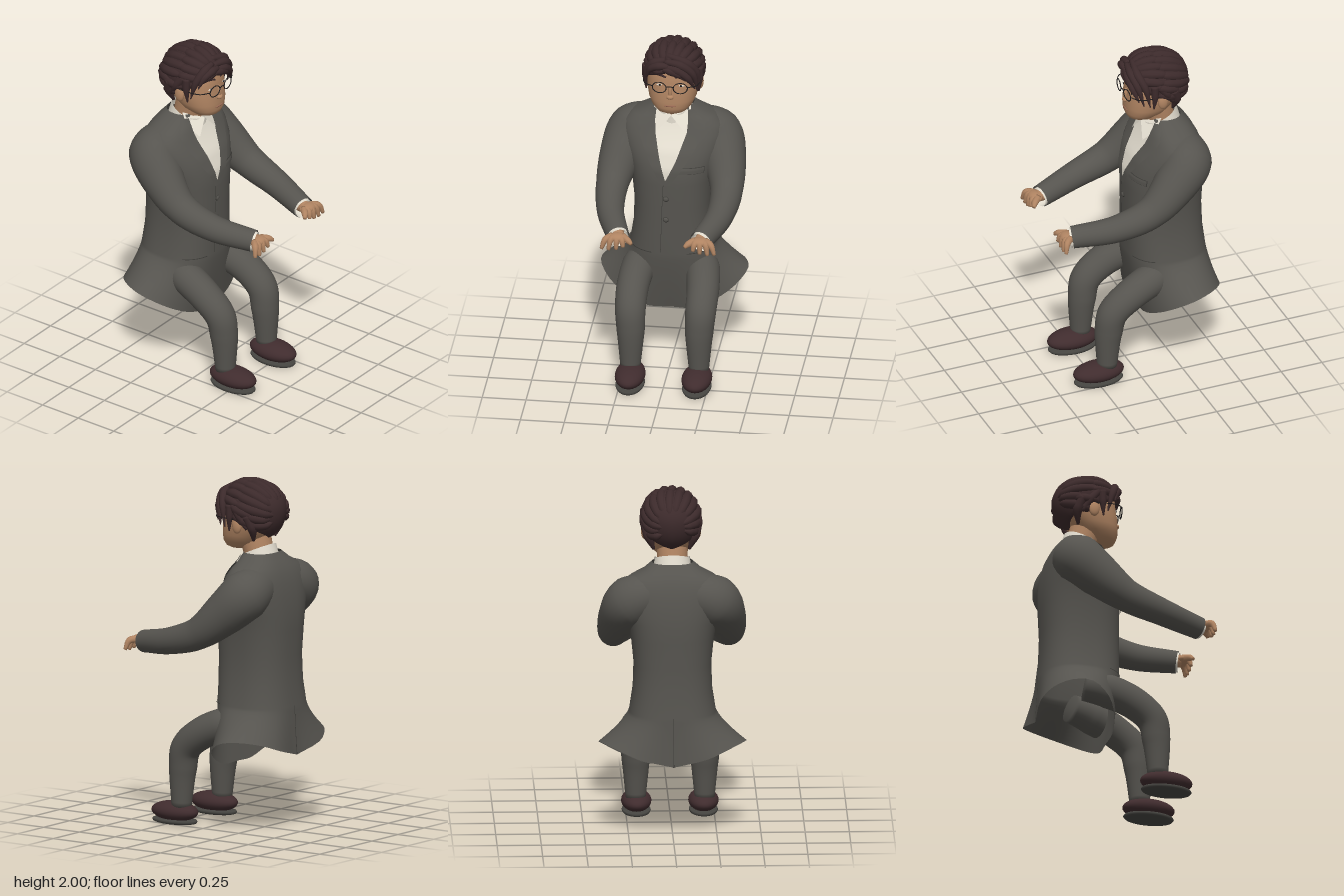
import * as THREE from 'three';

const V = (x, y, z) => new THREE.Vector3(x, y, z);
const mat = (name, color, side = THREE.FrontSide) => {
  const m = new THREE.MeshStandardMaterial({ color, side });
  m.name = name;
  return m;
};

// Smooth surface through rows of points; wrap closes each row, cap fills the ends
function grid(rows, wrap = true, cap = true) {
  const n = rows[0].length, pos = [], idx = [];
  rows.forEach(r => r.forEach(p => pos.push(p.x, p.y, p.z)));
  for (let i = 0; i < rows.length - 1; i++) {
    for (let j = 0; j < (wrap ? n : n - 1); j++) {
      const a = i * n + j, b = i * n + (j + 1) % n;
      idx.push(a, b, a + n, b, b + n, a + n);
    }
  }
  if (wrap && cap) {
    [0, rows.length - 1].forEach(i => {
      const c = rows[i].reduce((s, p) => s.add(p), V(0, 0, 0)).divideScalar(n);
      const k = pos.length / 3;
      pos.push(c.x, c.y, c.z);
      for (let j = 0; j < n; j++) {
        const a = i * n + j, b = i * n + (j + 1) % n;
        if (i) idx.push(a, b, k); else idx.push(b, a, k);
      }
    });
  }
  const g = new THREE.BufferGeometry();
  g.setAttribute('position', new THREE.Float32BufferAttribute(pos, 3));
  g.setIndex(idx);
  g.computeVertexNormals();
  return g;
}

// Tube of changing radius along a smooth path
function sweep(pts, radii, steps = 24, sides = 20, cap = true) {
  const curve = new THREE.CatmullRomCurve3(pts.map(p => V(...p)));
  const rows = [];
  let N = V(0.31, 0.87, 0.39);
  for (let i = 0; i <= steps; i++) {
    const t = i / steps, T = curve.getTangent(t), c = curve.getPoint(t);
    N = N.clone().addScaledVector(T, -N.dot(T)).normalize();
    const B = T.clone().cross(N), f = t * (radii.length - 1), k = Math.min(Math.floor(f), radii.length - 2);
    const r = THREE.MathUtils.lerp(radii[k], radii[k + 1], f - k);
    rows.push(Array.from({ length: sides }, (_, j) => {
      const a = j / sides * Math.PI * 2;
      return c.clone().addScaledVector(N, r * Math.cos(a)).addScaledVector(B, r * Math.sin(a));
    }));
  }
  return grid(rows, true, cap);
}

// Body sections: height, half width, front z, back z
const torsoKeys = [[0.72, 0.245, 0.0, -0.46], [0.85, 0.225, 0.0, -0.445], [1.0, 0.22, 0.0, -0.44], [1.15, 0.235, 0.0, -0.445],
  [1.25, 0.255, -0.005, -0.445], [1.35, 0.29, -0.04, -0.435], [1.42, 0.3, -0.08, -0.42], [1.47, 0.285, -0.105, -0.405],
  [1.51, 0.235, -0.122, -0.385], [1.545, 0.165, -0.135, -0.36], [1.585, 0.115, -0.145, -0.325]];
const headKeys = [[1.595, 0.05, -0.035, -0.14], [1.61, 0.085, -0.012, -0.18], [1.64, 0.115, 0.0, -0.23], [1.68, 0.135, 0.0, -0.27],
  [1.74, 0.148, -0.003, -0.32], [1.8, 0.152, -0.012, -0.345], [1.86, 0.15, -0.015, -0.345], [1.92, 0.12, -0.05, -0.31], [1.96, 0.06, -0.11, -0.25]];
const SEG = 48;
const spow = (v, p) => Math.sign(v) * Math.abs(v) ** p;
const ring = ([y, w, f, b], p) => Array.from({ length: SEG }, (_, j) => {
  const a = j / SEG * Math.PI * 2;
  return V(w * spow(Math.sin(a), p), y, (f + b) / 2 + (f - b) / 2 * spow(Math.cos(a), p));
});
function frontZ(keys, p, x, y) {
  let i = 0;
  while (i < keys.length - 2 && y > keys[i + 1][0]) i++;
  const t = (y - keys[i][0]) / (keys[i + 1][0] - keys[i][0]);
  const [w, f, b] = [1, 2, 3].map(k => THREE.MathUtils.lerp(keys[i][k], keys[i + 1][k], t));
  const s = Math.min(1, Math.abs(x) / w) ** (1 / p);
  return (f + b) / 2 + (f - b) / 2 * Math.sqrt(1 - s * s) ** p;
}
// Thin panel lying on the chest; rows are [y, x0, x1]
function panel(rows, off) {
  const out = [];
  for (let i = 0; i < rows.length - 1; i++) {
    for (let k = i ? 1 : 0; k <= 6; k++) {
      const [y, a, b] = rows[i].map((v, q) => THREE.MathUtils.lerp(v, rows[i + 1][q], k / 6));
      out.push(Array.from({ length: 9 }, (_, j) => {
        const x = a + (b - a) * j / 8;
        return V(x, y, frontZ(torsoKeys, 0.8, x, y) + off);
      }));
    }
  }
  return grid(out, false);
}

export function createModel() {
  const D = THREE.DoubleSide;
  const suit = mat('suit', 0x56544f, D), seam = mat('seam', 0x3f3e3a, D), shirt = mat('shirt', 0xe4ded0, D);
  const skin = mat('skin', 0xb08462), hair = mat('hair', 0x3c2a2b, D), shoe = mat('shoe', 0x402c2e);
  const sole = mat('sole', 0x464541), frame = mat('frame', 0x1c1a1b), lip = mat('lip', 0x986853);
  const model = new THREE.Group();
  const add = (name, geo, m, parent = model) => {
    const o = new THREE.Mesh(geo, m);
    o.name = name;
    parent.add(o);
    return o;
  };
  const ball = (name, m, p, s, parent) => {
    const o = add(name, new THREE.SphereGeometry(1, 28, 18), m, parent);
    o.position.set(...p);
    o.scale.set(...s);
    return o;
  };

  // Coat body with a flared, arched hem
  const hemCurve = new THREE.CatmullRomCurve3([[0, 0.36, -0.06], [0.13, 0.36, -0.06], [0.25, 0.41, -0.08], [0.36, 0.48, -0.14],
    [0.42, 0.54, -0.25], [0.385, 0.55, -0.36], [0.3, 0.53, -0.45], [0.19, 0.49, -0.495], [0, 0.44, -0.475]].map(p => V(...p)));
  const waist = ring(torsoKeys[0], 0.8), skirt = [];
  for (let i = 10; i >= 1; i--) {
    const t = i / 10, e = t ** 1.3;
    skirt.push(waist.map((w, j) => {
      const h = hemCurve.getPoint(Math.min(j, SEG - j) / (SEG / 2));
      if (j > SEG / 2) h.x *= -1;
      return V(w.x + (h.x - w.x) * e, w.y + (h.y - w.y) * t, w.z + (h.z - w.z) * e);
    }));
  }
  add('coat', grid([...skirt, ...torsoKeys.map(k => ring(k, 0.8))], true, false), suit);
  add('backVent', sweep([[0, 0.72, -0.459], [0, 0.58, -0.465], [0, 0.44, -0.475]], [0.002, 0.003], 10, 8), seam);

  // Shirt front, lapels, front edge, pockets and buttons
  add('shirtFront', panel([[1.19, -0.024, -0.018], [1.3, -0.055, 0.035], [1.45, -0.09, 0.09], [1.56, -0.095, 0.095]], 0.006), shirt);
  add('rightLapel', panel([[1.16, -0.045, -0.022], [1.3, -0.12, -0.055], [1.45, -0.19, -0.09], [1.5, -0.19, -0.095], [1.57, -0.115, -0.09]], 0.012), suit);
  add('leftLapel', panel([[1.16, -0.022, 0.005], [1.3, 0.035, 0.1], [1.45, 0.09, 0.19], [1.5, 0.095, 0.19], [1.57, 0.09, 0.115]], 0.012), suit);
  add('frontEdge', panel([[0.73, -0.05, -0.047], [1.0, -0.042, -0.039], [1.17, -0.034, -0.031]], 0.004), seam);
  add('chestPocket', panel([[1.228, 0.055, 0.19], [1.262, 0.05, 0.195]], 0.006), suit);
  add('chestPocketEdge', panel([[1.225, 0.052, 0.193], [1.265, 0.047, 0.198]], 0.004), seam);
  for (const s of [-1, 1]) add('sidePocketEdge', panel([[0.722, s * 0.16 - 0.06, s * 0.16 + 0.06], [0.727, s * 0.16 - 0.06, s * 0.16 + 0.06]], 0.005), seam);
  for (const y of [1.07, 0.94]) {
    ball('coatButton', seam, [-0.018, y, 0.002], [0.017, 0.017, 0.006]);
    ball('coatButtonFace', suit, [-0.018, y, 0.004], [0.014, 0.014, 0.006]);
  }

  // Neck and shirt collar
  add('neck', sweep([[0, 1.48, -0.225], [0, 1.57, -0.21], [0, 1.68, -0.18]], [0.09, 0.085, 0.09]), skin);
  const collarRing = (w, f, b, lo, hi) => ring([0, w, f, b], 1).map(p => V(p.x, lo + (hi - lo) * (f - p.z) / (f - b), p.z));
  add('collarBand', grid([collarRing(0.112, -0.11, -0.33, 1.48, 1.55), collarRing(0.1, -0.11, -0.305, 1.55, 1.635)], true, false), shirt);
  for (const s of [-1, 1]) {
    add('collarWing', grid([[V(s * 0.075, 1.465, -0.078), V(s * 0.112, 1.53, -0.14)], [V(0, 1.55, -0.1), V(s * 0.1, 1.6, -0.185)]], false), shirt);
  }

  // Limbs, built once and mirrored
  for (const s of [1, -1]) {
    const side = s > 0 ? 'left' : 'right';
    const m = pts => pts.map(([x, y, z]) => [s * x, y, z]);
    add(side + 'Sleeve', sweep(m([[0.1, 1.41, -0.285], [0.235, 1.365, -0.28], [0.29, 1.265, -0.185], [0.325, 1.14, -0.03], [0.31, 1.07, 0.18], [0.235, 1.03, 0.42]]),
      [0.12, 0.145, 0.126, 0.093, 0.077, 0.064], 40, 28, false), suit);
    add(side + 'Cuff', sweep(m([[0.26, 1.038, 0.35], [0.23, 1.027, 0.43]]), [0.056, 0.056], 3, 24, false), shirt);
    add(side + 'Wrist', sweep(m([[0.245, 1.035, 0.36], [0.233, 1.04, 0.44]]), [0.035, 0.036], 4, 16), skin);
    ball(side + 'Palm', skin, [s * 0.235, 1.042, 0.45], [0.058, 0.026, 0.042]);
    const tips = [[0.322, 0.985], [0.282, 0.98], [0.238, 0.985], [0.198, 1.0], [0.15, 1.022]];
    tips.forEach(([x, y], i) => add(side + (i < 4 ? 'Finger' : 'Thumb'), sweep(
      m([[0.235 + (x - 0.235) * 0.35, 1.045, 0.445], [0.235 + (x - 0.235) * 0.75, 1.037, 0.478], [x, y, 0.493]]), [0.022, 0.019, 0.01], 10, 10), skin));

    add(side + 'TrouserLeg', sweep(m([[0.15, 0.625, -0.23], [0.182, 0.595, -0.09], [0.2, 0.532, 0.05], [0.2, 0.44, 0.155], [0.195, 0.32, 0.18], [0.195, 0.1, 0.19]]),
      [0.08, 0.097, 0.092, 0.087, 0.08, 0.057], 40, 28), suit);
    ball(side + 'Shoe', shoe, [s * 0.19, 0.068, 0.24], [0.086, 0.057, 0.152]);
    // Rounded sole with a flat underside
    const base = add(side + 'Sole', new THREE.LatheGeometry(
      [[0, 0], [0.8, 0], [0.93, 0.005], [0.98, 0.014], [0.95, 0.022], [0, 0.03]].map(p => new THREE.Vector2(...p)), 36), sole);
    base.position.set(s * 0.19, 0, 0.24);
    base.scale.set(0.084, 1, 0.15);
  }

  // Head and face
  const head = new THREE.Group();
  head.name = 'head';
  head.position.x = 0.006;
  model.add(head);
  add('face', grid(headKeys.map(k => ring(k, 0.88))), skin, head);
  const fz = (x, y) => frontZ(headKeys, 0.88, x, y);
  ball('noseTip', skin, [0, 1.718, 0.0], [0.021, 0.014, 0.017], head);
  ball('noseBridge', skin, [0, 1.75, -0.006], [0.012, 0.042, 0.014], head);
  ball('mouth', lip, [0, 1.66, -0.002], [0.036, 0.006, 0.006], head);
  for (const s of [-1, 1]) {
    ball('ear', skin, [s * 0.152, 1.745, -0.17], [0.018, 0.045, 0.03], head);
    const z = fz(0.06, 1.785);
    ball('eyeWhite', shirt, [s * 0.06, 1.784, z], [0.02, 0.006, 0.004], head);
    ball('iris', frame, [s * 0.06, 1.784, z + 0.002], [0.007, 0.006, 0.004], head);
    add('eyebrow', sweep([0.025, 0.06, 0.1].map((x, i) => [s * x, [1.834, 1.846, 1.836][i], fz(x, 1.84) + 0.001]), [0.005, 0.008, 0.004], 10, 8), hair, head);
    const rim = add('lensRim', new THREE.TorusGeometry(0.04, 0.003, 8, 32), frame, head);
    rim.position.set(s * 0.06, 1.782, 0.012);
    rim.rotation.y = s * 0.12;
    rim.scale.y = 0.82;
    add('templeArm', sweep([[s * 0.1, 1.787, 0.006], [s * 0.15, 1.787, -0.03], [s * 0.16, 1.78, -0.17]], [0.0028, 0.0028], 12, 8), frame, head);
  }
  add('glassesBridge', sweep([[-0.021, 1.787, 0.016], [0, 1.792, 0.018], [0.021, 1.787, 0.016]], [0.0028, 0.0028], 8, 8), frame, head);

  // Hair cap with a low nape
  const cap = [];
  for (let i = 16; i >= 0; i--) {
    cap.push(Array.from({ length: SEG }, (_, j) => {
      const a = j / SEG * Math.PI * 2, back = Math.min(j, SEG - j) / (SEG / 2);
      const f = Math.max(0.01, i / 16) * THREE.MathUtils.degToRad(72 + 78 * back), c = Math.cos(f);
      return V(0.164 * Math.sin(f) * Math.sin(a), 1.83 + c * (c > 0 ? 0.152 : 0.19), -0.185 + 0.19 * Math.sin(f) * Math.cos(a));
    }));
  }
  add('hairCap', grid(cap), hair, head);

  // Long overlapping locks combed from the brow to the nape
  const onHead = (lam, phi, k) => {
    const y = Math.sin(phi) * Math.cos(lam);
    return [0.17 * k * Math.sin(phi) * Math.sin(lam), 1.83 + 0.159 * k * y * (y < 0 ? 1.1 : 1) + 0.025 * Math.cos(phi), -0.192 + 0.197 * k * Math.cos(phi)];
  };
  const rad = THREE.MathUtils.degToRad;
  for (let i = -6; i <= 6; i++) {
    const lam = i * 19, low = Math.abs(lam) > 80;
    const spans = low ? [[64, 125], [95, 156]] : [[20, 100], [66, 160]];
    spans.forEach(([a, b], n) => {
      const shift = ((i * 5 + n * 3 + 40) % 4) * 3 - 4, pts = [];
      for (let k = 0; k <= 4; k++) pts.push(onHead(rad(lam + 9 * n + k * 3 - 10), rad(a + shift + (b - a) * k / 4), 0.875 + 0.008 * (k % 4)));
      add('hairLock', sweep(pts, [0.012, 0.027, 0.03, 0.025, 0.005], 20, 10), hair, head);
    });
  }
  // Side-parted fringe and sideburns
  const fringe = [
    [[-0.03, 1.9, -0.01], [0.04, 1.888, 0.0], [0.1, 1.84, -0.006], [0.138, 1.765, -0.03]],
    [[-0.03, 1.93, -0.022], [0.06, 1.915, -0.012], [0.125, 1.855, -0.028], [0.15, 1.74, -0.055]],
    [[-0.02, 1.955, -0.05], [0.09, 1.92, -0.04], [0.143, 1.85, -0.066], [0.156, 1.73, -0.09]],
    [[-0.04, 1.89, -0.006], [0.0, 1.882, 0.0], [0.05, 1.862, 0.002], [0.09, 1.825, 0.0]],
    [[-0.01, 1.905, -0.008], [-0.065, 1.905, -0.01], [-0.112, 1.88, -0.025], [-0.142, 1.815, -0.045]],
    [[-0.03, 1.935, -0.03], [-0.095, 1.915, -0.035], [-0.14, 1.85, -0.062], [-0.154, 1.74, -0.09]]];
  fringe.forEach(p => add('fringeLock', sweep(p, [0.016, 0.025, 0.021, 0.003], 18, 10), hair, head));
  for (const s of [-1, 1]) {
    add('sideburn', sweep([[s * 0.15, 1.86, -0.12], [s * 0.154, 1.79, -0.12], [s * 0.15, 1.71, -0.115]], [0.024, 0.02, 0.004], 12, 10), hair, head);
    add('templeLock', sweep([[s * 0.146, 1.86, -0.14], [s * 0.152, 1.8, -0.19], [s * 0.142, 1.73, -0.235]], [0.022, 0.026, 0.012], 12, 10), hair, head);
    add('napeLock', sweep([[s * 0.146, 1.81, -0.235], [s * 0.13, 1.74, -0.26], [s * 0.1, 1.66, -0.25]], [0.03, 0.03, 0.008], 12, 10), hair, head);
  }
  return model;
}
